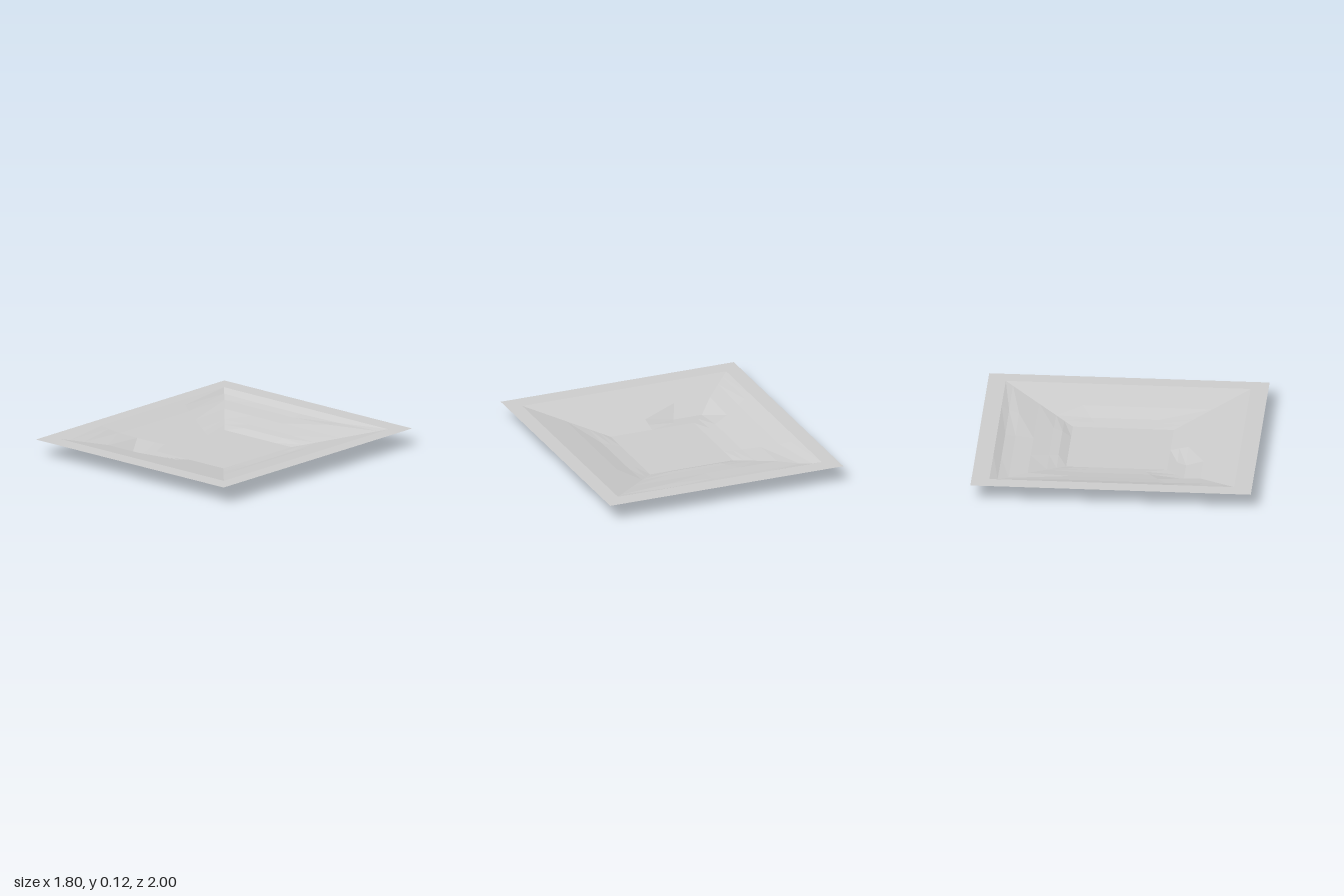
import * as THREE from 'three';

const TOP = 0.123, FLOOR = 0.01, N = 16;
const material = new THREE.MeshStandardMaterial({ color: 0xcccccc, flatShading: true, side: THREE.DoubleSide });

// Rectangular loop of 16 points: back (0-3), right (4-7), front (8-11), left (12-15)
function loop(hx, hz, y) {
  const corners = [[-1, -1], [1, -1], [1, 1], [-1, 1]];
  return Array.from({ length: N }, (_, i) => {
    const a = corners[Math.floor(i / 4)], b = corners[(Math.floor(i / 4) + 1) % 4], f = (i % 4) / 4;
    return new THREE.Vector3(hx * (a[0] + (b[0] - a[0]) * f), y, hz * (a[1] + (b[1] - a[1]) * f));
  });
}

// Surface stitched between successive loops, facing up
function surface(name, loops) {
  const pts = [];
  for (let r = 0; r < loops.length - 1; r++) {
    for (let i = 0; i < N; i++) {
      const j = (i + 1) % N;
      const a = loops[r][i], b = loops[r][j], c = loops[r + 1][i], d = loops[r + 1][j];
      pts.push(a, c, b, b, c, d);
    }
  }
  const geometry = new THREE.BufferGeometry().setFromPoints(pts);
  geometry.computeVertexNormals();
  const mesh = new THREE.Mesh(geometry, material);
  mesh.name = name;
  return mesh;
}

export function createModel() {
  const group = new THREE.Group();
  group.name = 'basin';

  // Evenly sloped main rings, from the rim edge down to the floor
  const ring = t => loop(
    THREE.MathUtils.lerp(0.787, 0.32, t / 4),
    THREE.MathUtils.lerp(0.873, 0.36, t / 4),
    THREE.MathUtils.lerp(TOP, FLOOR, t / 4));
  const main = [0, 1, 2, 3, 4].map(ring);

  // Dents in the slopes: ring, height, points
  const dents = [
    [1, 0.08, [0, 1, 2, 13, 14, 15]],
    [2, 0.052, [13, 14, 15]],
    [3, 0.027, [5, 6, 7, 13, 14, 15]],
    [3, 0, [11, 12]],
    [3, 0.045, [1, 2, 3]],
  ];
  for (const [r, y, points] of dents) points.forEach(i => { main[r][i].y = y; });

  // Ledge rings halfway between main rings
  const between = (r, f) => main[r].map((p, i) => p.clone().lerp(main[r + 1][i], f));
  const upper = between(0, 0.43), lower = between(3, 0.5);
  [0.098, 0.092, 0.092, 0.098].forEach((y, i) => { upper[i].y = y; });
  [1, 2, 3].forEach(i => { lower[i].y = 0.036; });

  group.add(
    surface('rim', [loop(0.9, 1, TOP), main[0]]),
    surface('slopes', [main[0], upper, main[1], main[2], main[3], lower, main[4]]),
    surface('floor', [main[4], loop(0.1, 0.1, FLOOR), loop(0, 0, FLOOR)]),
  );
  return group;
}
